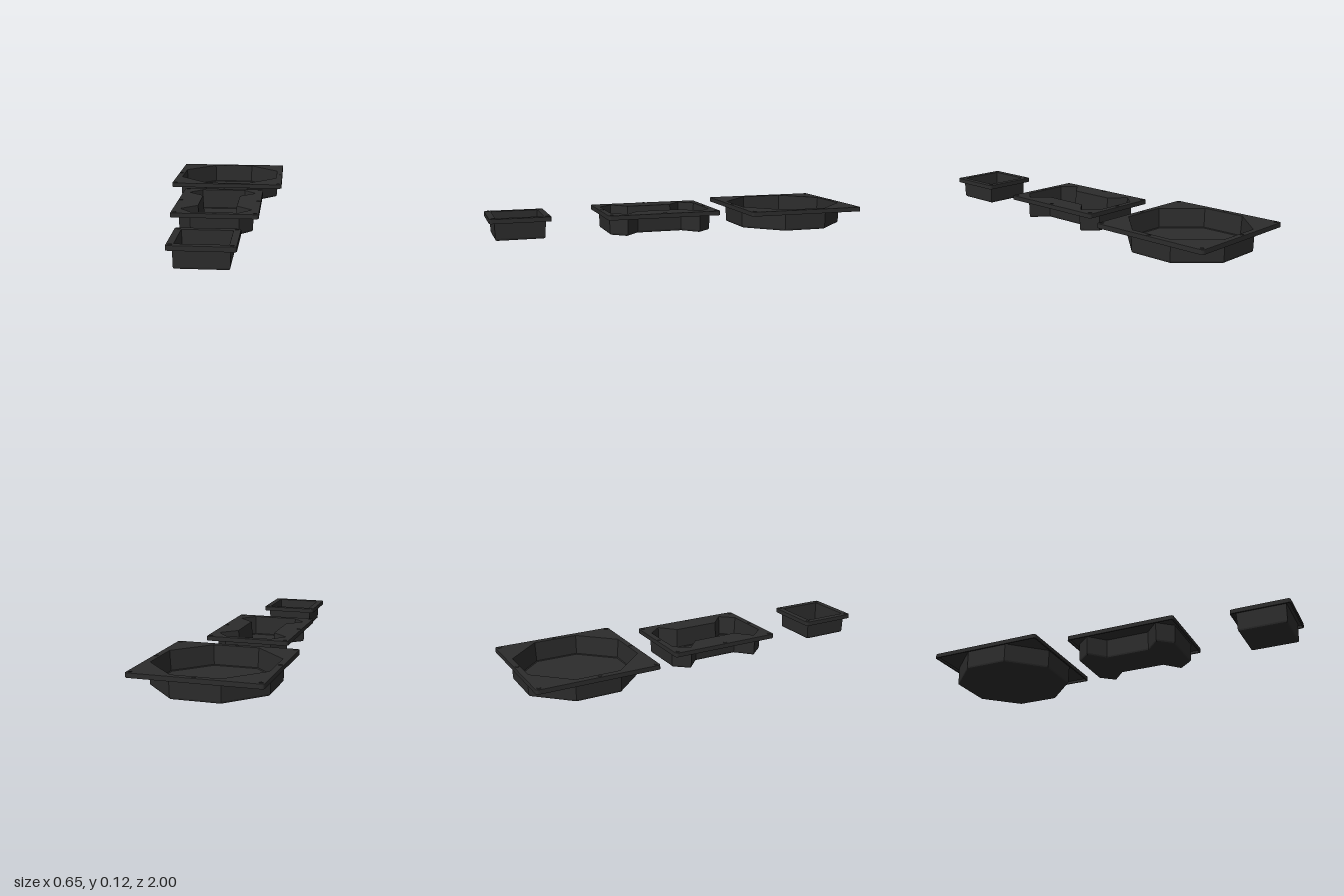
import * as THREE from 'three';

const TOP = 0.117, LIP_BOTTOM = 0.093;

// Moves every edge of a counter-clockwise polygon outwards by d (mitred corners)
function offset(points, d) {
  const n = points.length;
  return points.map((p, i) => {
    const a = points[(i + n - 1) % n], b = points[(i + 1) % n];
    const u = p.clone().sub(a).normalize(), v = b.clone().sub(p).normalize();
    const n1 = new THREE.Vector2(u.y, -u.x), n2 = new THREE.Vector2(v.y, -v.x);
    return p.clone().addScaledVector(n1.clone().add(n2), d / (1 + n1.dot(n2)));
  });
}

// Rounded rectangle in plan
function roundedRect(w, h, r, Type = THREE.Shape) {
  const s = new Type();
  s.absarc(w - r, h - r, r, 0, Math.PI / 2);
  s.absarc(-w + r, h - r, r, Math.PI / 2, Math.PI);
  s.absarc(-w + r, -h + r, r, Math.PI, Math.PI * 1.5);
  s.absarc(w - r, -h + r, r, Math.PI * 1.5, Math.PI * 2);
  s.closePath();
  return s;
}

// Extrudes a plan shape downwards from the given height
function slab(shape, top, options) {
  return new THREE.ExtrudeGeometry(shape, { curveSegments: 4, ...options })
    .rotateX(Math.PI / 2).translate(0, top, 0);
}

// Thin-walled basin: inside floor, up the inner wall, down the outer wall, underside
function basinGeometry(outline) {
  const profile = [
    [-0.010, 0.010], [-0.006, 0.014], [0, 0.111], [0.008, 0.111],
    [0.005, 0.012], [0.003, 0.005], [-0.001, 0.0015], [-0.007, 0]
  ];
  const rings = profile.map(([d, y]) => offset(outline, d).map(p => new THREE.Vector3(p.x, y, p.y)));
  const pos = [];
  const tri = (...v) => v.forEach(p => pos.push(p.x, p.y, p.z));
  const n = outline.length;
  for (let r = 0; r < rings.length - 1; r++) {
    for (let i = 0; i < n; i++) {
      const j = (i + 1) % n, a = rings[r], b = rings[r + 1];
      tri(a[i], a[j], b[i]);
      tri(a[j], b[j], b[i]);
    }
  }
  const floor = rings[0], under = rings[rings.length - 1];
  for (const [a, b, c] of THREE.ShapeUtils.triangulateShape(outline, [])) {
    tri(floor[a], floor[c], floor[b]);
    tri(under[a], under[b], under[c]);
  }
  const g = new THREE.BufferGeometry();
  g.setAttribute('position', new THREE.Float32BufferAttribute(pos, 3));
  g.computeVertexNormals();
  return g;
}

// Mirrors one quadrant of points (from +x round to +z) into a full outline
function mirrorQuadrant(quad) {
  const back = [...quad].reverse();
  return [
    ...quad,
    ...back.map(([x, z]) => [-x, z]),
    ...quad.map(([x, z]) => [-x, -z]),
    ...back.map(([x, z]) => [x, -z])
  ].map(([x, z]) => new THREE.Vector2(x, z));
}

function makeTray({ name, w, h, z, quad, midNubs }, material) {
  const tray = new THREE.Group();
  tray.name = name;
  const add = (geometry, part) => {
    const mesh = new THREE.Mesh(geometry, material);
    mesh.name = part;
    tray.add(mesh);
    return mesh;
  };
  const outline = mirrorQuadrant(quad);

  // Flat rim with the basin opening cut out
  const plate = roundedRect(w, h, 0.014);
  plate.holes.push(new THREE.Path([...outline].reverse()));
  const bevel = 0.003;
  add(slab(plate, TOP - bevel, {
    depth: 0.004, bevelEnabled: true, bevelThickness: bevel, bevelSize: bevel,
    bevelOffset: -bevel, bevelSegments: 2
  }), 'rim');

  // Lip turned down round the rim's edge
  const frame = roundedRect(w, h, 0.014);
  frame.holes.push(roundedRect(w - 0.008, h - 0.008, 0.007, THREE.Path));
  add(slab(frame, 0.112, { depth: 0.112 - LIP_BOTTOM, bevelEnabled: false }), 'lip');

  add(basinGeometry(outline), 'basin');

  // Low stacking nubs on the rim
  const spots = [];
  for (const sx of [-1, 1]) for (const sz of [-1, 1]) spots.push([sx * (w - 0.02), sz * (h - 0.02)]);
  if (midNubs) for (const s of [-1, 1]) spots.push([s * (w - 0.016), 0], [0, s * (h - 0.016)]);
  const nub = new THREE.CylinderGeometry(0.008, 0.012, 0.004, 12);
  for (const [x, nz] of spots) add(nub, 'nub').position.set(x, TOP, nz);

  tray.position.z = z;
  return tray;
}

export function createModel() {
  const group = new THREE.Group();
  group.name = 'traySet';
  const charcoal = new THREE.MeshStandardMaterial({ color: 0x2c2c2c });
  charcoal.name = 'charcoal';

  const trays = [
    { name: 'octagonalTray', w: 0.327, h: 0.325, z: -0.675, midNubs: true,
      quad: [[0.291, 0.117], [0.12, 0.293]] },
    { name: 'waistedTray', w: 0.225, h: 0.307, z: 0.098, midNubs: true,
      quad: [[0.102, 0.124], [0.185, 0.2], [0.122, 0.273]] },
    { name: 'squareTray', w: 0.157, h: 0.157, z: 0.843, midNubs: false,
      quad: [[0.122, 0.122]] }
  ];
  for (const t of trays) group.add(makeTray(t, charcoal));
  return group;
}
